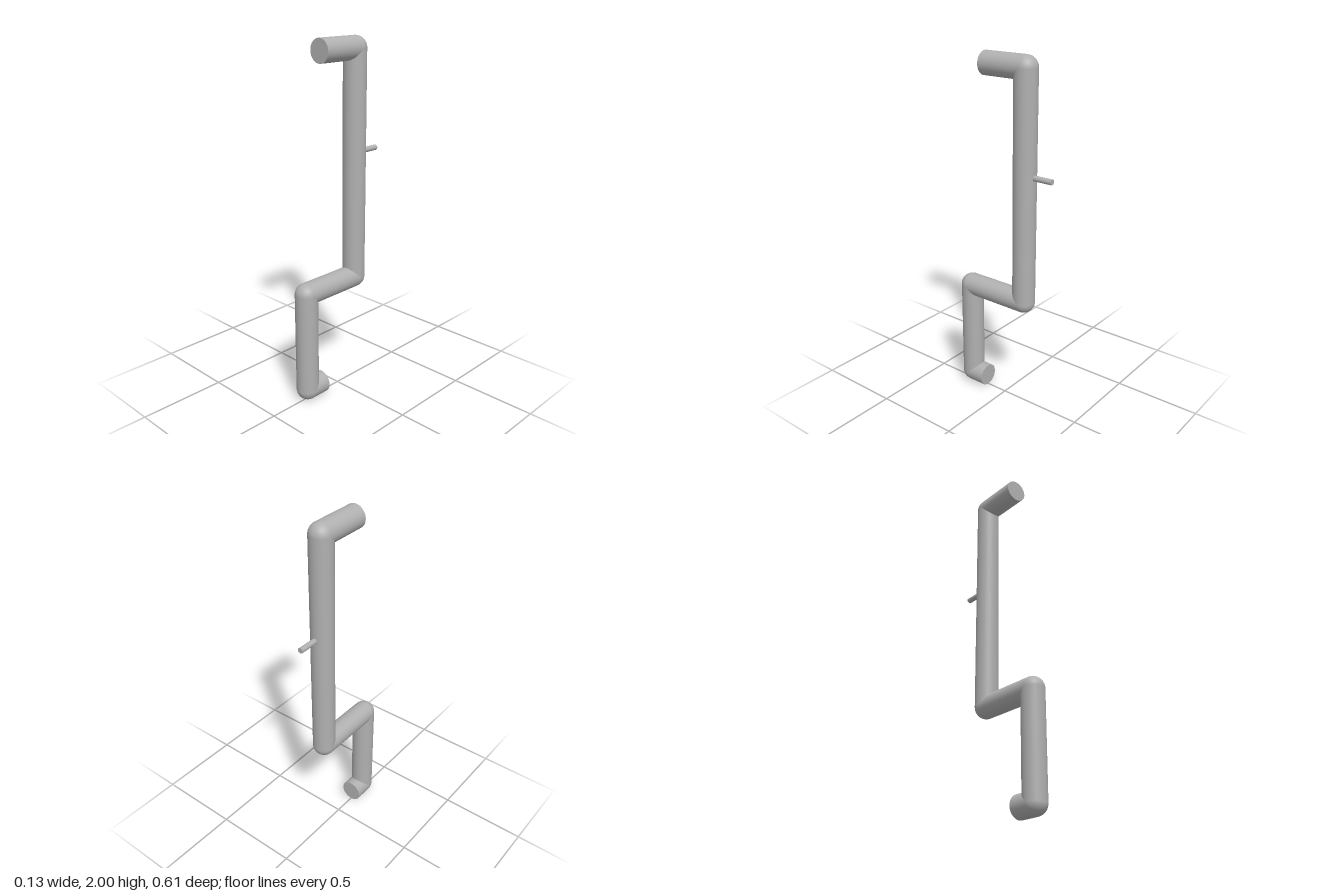
import * as THREE from 'three';

const RADIUS = 0.064;
const PIN_RADIUS = 0.0155;

export function createModel() {
  const model = new THREE.Group();
  model.name = 'crankedHandle';
  const grey = new THREE.MeshStandardMaterial({ color: 0xb0b0b0 });
  grey.name = 'grey metal';

  // Capped round bar between two points
  function rod(name, from, to, radius) {
    const direction = to.clone().sub(from);
    const geometry = new THREE.CylinderGeometry(radius, radius, direction.length(), 48);
    const mesh = new THREE.Mesh(geometry, grey);
    mesh.name = name;
    mesh.position.copy(from).add(to).multiplyScalar(0.5);
    mesh.quaternion.setFromUnitVectors(new THREE.Vector3(0, 1, 0), direction.normalize());
    model.add(mesh);
  }

  // Centre line of the bar, from the top grip to the bottom stub
  const path = [
    [1.936, 0.13], [1.936, -0.133], [0.647, -0.133],
    [0.647, 0.242], [0.064, 0.242], [0.064, 0.13],
  ].map(([y, z]) => new THREE.Vector3(0, y, z));
  const names = ['topGrip', 'upperShaft', 'crankArm', 'lowerShaft', 'bottomStub'];
  names.forEach((name, i) => rod(name, path[i], path[i + 1], RADIUS));

  // Ball joints round off the four corners
  path.slice(1, -1).forEach((point, i) => {
    const ball = new THREE.Mesh(new THREE.SphereGeometry(RADIUS, 48, 24), grey);
    ball.name = `cornerJoint${i + 1}`;
    ball.position.copy(point);
    model.add(ball);
  });

  // Thin pin sticking out of the back of the upper shaft
  rod('backPin', new THREE.Vector3(0, 1.376, -0.133), new THREE.Vector3(0, 1.376, -0.307), PIN_RADIUS);

  return model;
}
